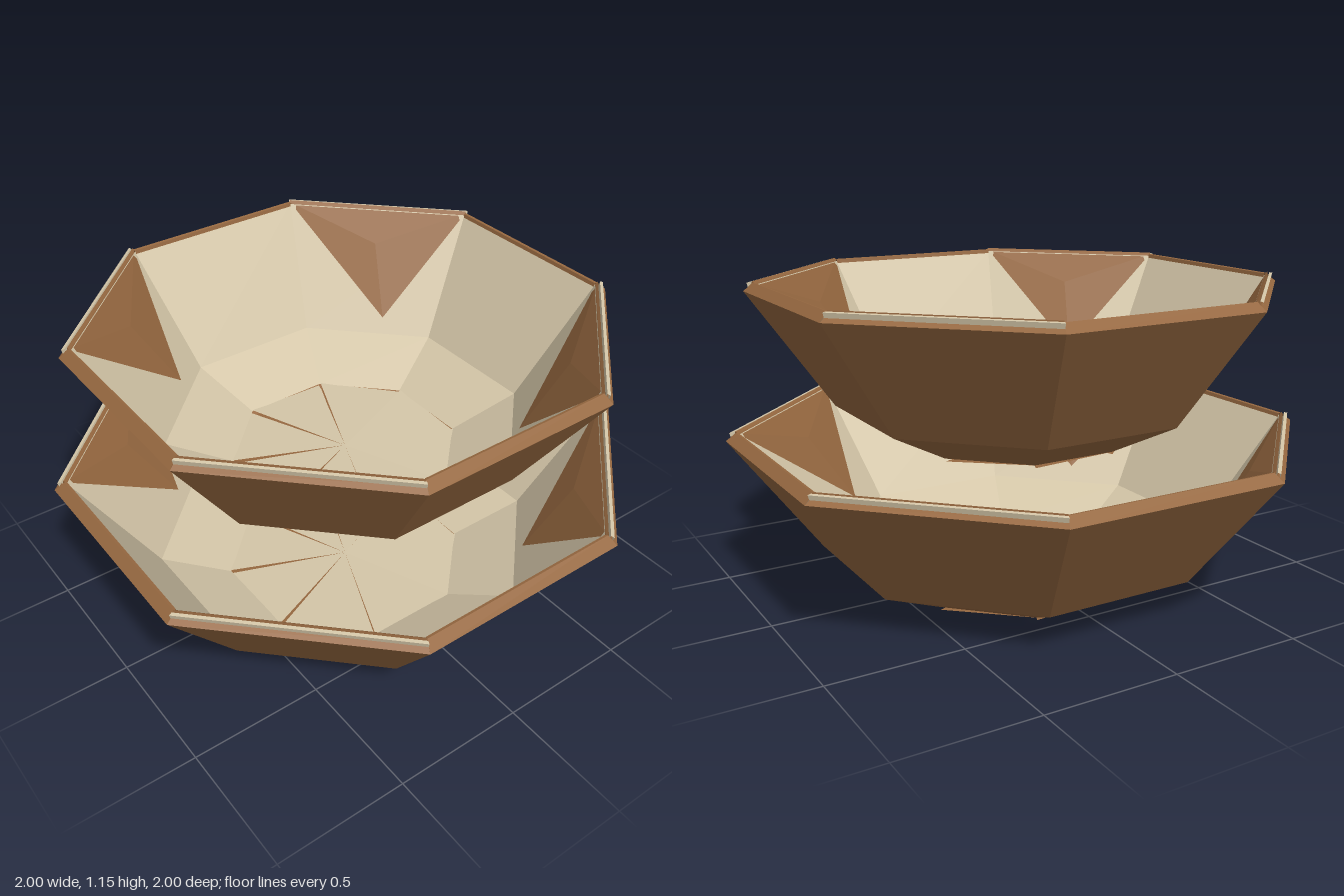
import * as THREE from 'three';

const BROWN = 0x966840, CREAM = 0xd4c6a8;
const AXIS = [0, 2, 4, 6], DIAGONAL = [1, 3, 5, 7], ALL = [0, 1, 2, 3, 4, 5, 6, 7];
const STEP = Math.PI / 4;

// point on an octagon of the given apothem, at angle a (0 = front)
function corner(apothem, y, a) {
  const r = apothem / Math.cos(STEP / 2);
  return [r * Math.sin(a), y, r * Math.cos(a)];
}

function paper(name, triangles, color) {
  const g = new THREE.BufferGeometry();
  g.setAttribute('position', new THREE.Float32BufferAttribute(triangles.flat(2), 3));
  g.computeVertexNormals();
  const mesh = new THREE.Mesh(g, new THREE.MeshStandardMaterial({ color, flatShading: true, side: THREE.DoubleSide }));
  mesh.name = name;
  return mesh;
}

// sweep an [apothem, y] profile along chosen octagon sides
function panels(name, profile, sides, color) {
  const tris = [];
  for (const k of sides) {
    const a0 = (k - 0.5) * STEP, a1 = (k + 0.5) * STEP;
    for (let i = 0; i + 1 < profile.length; i++) {
      const [p, q] = [profile[i], profile[i + 1]];
      const a = corner(...p, a0), b = corner(...p, a1), c = corner(...q, a1), d = corner(...q, a0);
      tris.push([a, b, c], [a, c, d]);
    }
  }
  return paper(name, tris, color);
}

// pleated base: eight tilted wedges with hairline slits between them
function pleats(name, apothem, y, up, color) {
  const tris = ALL.map((k) => {
    const c = [0, y + 0.006, 0];
    const a = corner(apothem, y, (k - 0.5) * STEP + 0.008);
    const b = corner(apothem, y + 0.01, (k + 0.5) * STEP - 0.008);
    return up ? [c, a, b] : [c, b, a];
  });
  return paper(name, tris, color);
}

// folded corner flaps, repeated at quarter turns
function cornerFlaps() {
  const group = new THREE.Group();
  group.name = 'cornerFlaps';
  const a = corner(0.962, 0.598, STEP * 0.5), b = corner(0.962, 0.598, STEP * 1.5);
  const tip = [0.45, 0.22, 0.545], crease = [0.61, 0.478, 0.62];
  for (let i = 0; i < 4; i++) {
    const flap = paper('cornerFlap', [[b, a, crease], [a, tip, crease], [tip, b, crease]], BROWN);
    flap.rotation.y = i * Math.PI / 2;
    group.add(flap);
  }
  return group;
}

function bowl(name) {
  const g = new THREE.Group();
  g.name = name;
  g.add(
    // shell
    panels('outerWall', [[0.43, 0.01], [0.69, 0.14], [1, 0.57]], ALL, BROWN),
    panels('innerWall', [[0.957, 0.592], [0.68, 0.155], [0.434, 0.03]], ALL, CREAM),
    pleats('outerBase', 0.43, 0, false, BROWN),
    pleats('innerBase', 0.436, 0.022, true, CREAM),
    // rim: plain folded edge on the square sides, layered edge on the corners
    panels('squareRim', [[1, 0.57], [0.965, 0.6], [0.955, 0.598], [0.95, 0.575]], AXIS, BROWN),
    panels('cornerRim', [[1, 0.57], [0.978, 0.586], [0.962, 0.58]], DIAGONAL, BROWN),
    panels('cornerRimLining', [[0.982, 0.582], [0.987, 0.6], [0.975, 0.602], [0.97, 0.585]], DIAGONAL, CREAM),
    panels('flapEdge', [[0.97, 0.585], [0.967, 0.605], [0.958, 0.597]], DIAGONAL, BROWN),
    cornerFlaps()
  );
  return g;
}

export function createModel() {
  const model = new THREE.Group();
  model.name = 'stackedPaperBowls';
  const lower = bowl('lowerBowl');
  const upper = bowl('upperBowl');
  upper.scale.set(0.91, 1, 0.91);
  upper.position.y = 0.55;
  model.add(lower, upper);
  return model;
}
